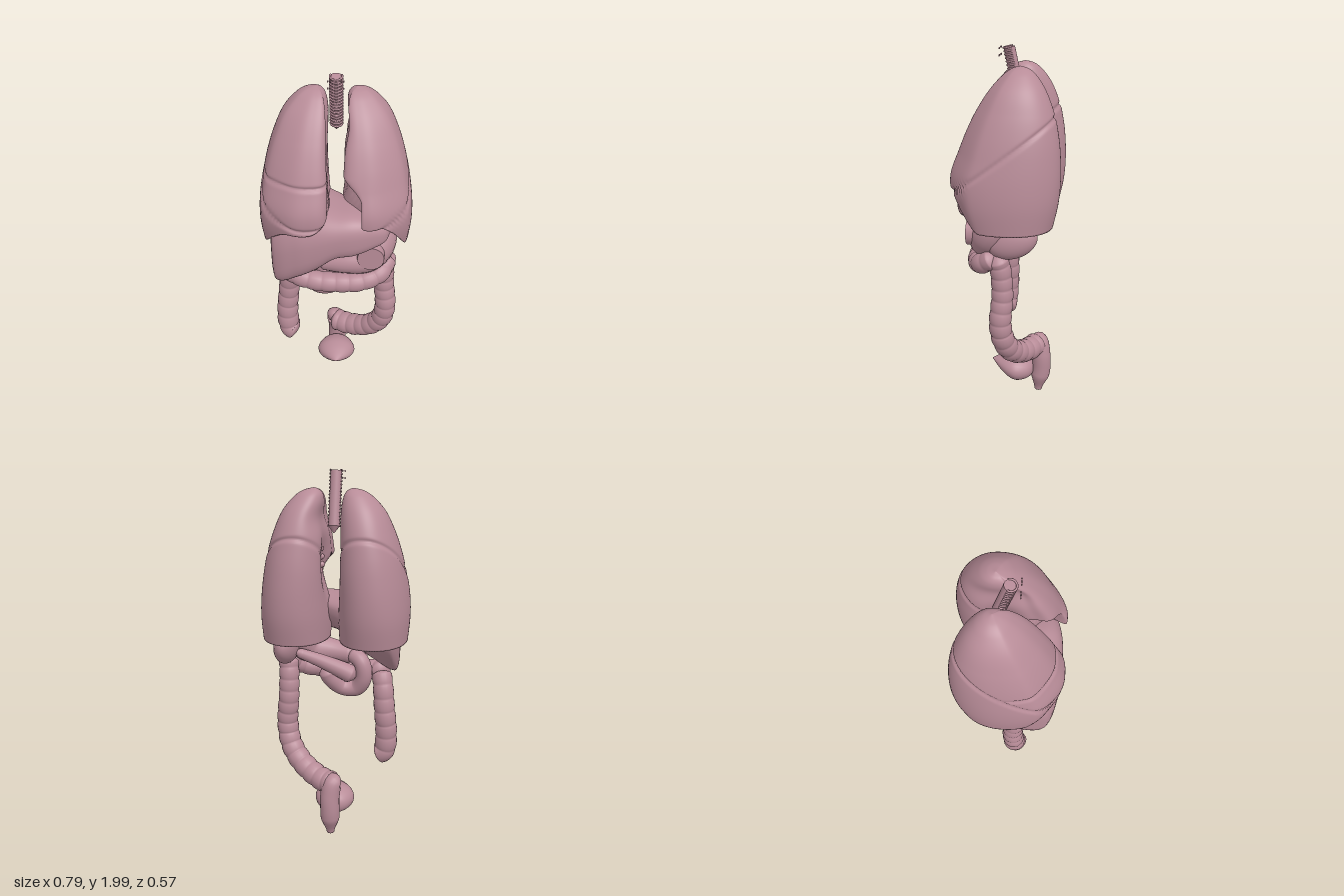
import * as THREE from 'three';
import { mergeVertices } from 'three/addons/utils/BufferGeometryUtils.js';

const material = new THREE.MeshStandardMaterial({ color: 0xb88c98, side: THREE.DoubleSide });
const V = (p) => new THREE.Vector3(...p);
const smooth = THREE.MathUtils.smoothstep;
const pw = (a, e) => Math.sign(a) * Math.abs(a) ** e;

// Smooth lookup in a table whose first column is the ascending key
function lookup(rows, key) {
  const n = rows.length - 1;
  const k = THREE.MathUtils.clamp(key, rows[0][0], rows[n][0]);
  let i = 0;
  while (i < n - 1 && k > rows[i + 1][0]) i++;
  const h = rows[i + 1][0] - rows[i][0], t = (k - rows[i][0]) / h;
  const slope = (j, c) => {
    const a = rows[Math.max(j - 1, 0)], b = rows[Math.min(j + 1, n)];
    return (b[c] - a[c]) / (b[0] - a[0]);
  };
  return rows[0].slice(1).map((_, q) => {
    const c = q + 1, t2 = t * t, t3 = t2 * t;
    return (2 * t3 - 3 * t2 + 1) * rows[i][c] + (t3 - 2 * t2 + t) * h * slope(i, c)
      + (3 * t2 - 2 * t3) * rows[i + 1][c] + (t3 - t2) * h * slope(i + 1, c);
  });
}

// Closed loft: fn(angle, v) gives a point; winding is set from the enclosed volume
function loft(name, fn, nu, nv) {
  const pos = [], idx = [];
  for (let j = 0; j <= nv; j++)
    for (let i = 0; i < nu; i++) pos.push(...fn((i / nu) * Math.PI * 2, j / nv));
  for (let j = 0; j < nv; j++)
    for (let i = 0; i < nu; i++) {
      const k = (i + 1) % nu, a = j * nu + i, b = j * nu + k;
      idx.push(a, b, b + nu, a, b + nu, a + nu);
    }
  let volume = 0;
  const p = (i) => new THREE.Vector3().fromArray(pos, i * 3);
  for (let i = 0; i < idx.length; i += 3) volume += p(idx[i]).dot(p(idx[i + 1]).cross(p(idx[i + 2])));
  if (volume < 0) idx.reverse();
  let g = new THREE.BufferGeometry();
  g.setAttribute('position', new THREE.Float32BufferAttribute(pos, 3));
  g.setIndex(idx);
  g = mergeVertices(g, 1e-5);
  g.computeVertexNormals();
  const m = new THREE.Mesh(g, material);
  m.name = name;
  return m;
}

// Tube along a curve with a radius rule and closed, rounded ends
function organTube(name, points, radius, segments = 80, sides = 20) {
  const path = new THREE.CatmullRomCurve3(points.map(V));
  let g = new THREE.TubeGeometry(path, segments, 1, sides);
  const pos = g.attributes.position, v = new THREE.Vector3();
  for (let i = 0; i <= segments; i++) {
    const u = i / segments, c = path.getPointAt(u);
    const r = i === 0 || i === segments ? 0 : radius(u);
    for (let j = 0; j <= sides; j++) {
      const k = i * (sides + 1) + j;
      v.fromBufferAttribute(pos, k).sub(c).multiplyScalar(r).add(c);
      pos.setXYZ(k, v.x, v.y, v.z);
    }
  }
  g.deleteAttribute('uv');
  g.deleteAttribute('normal');
  g = mergeVertices(g, 1e-5);
  g.computeVertexNormals();
  const m = new THREE.Mesh(g, material);
  m.name = name;
  return m;
}
const endRound = (u, w = 0.06) => Math.sqrt(Math.min(1, u / w, (1 - u) / w));
const haustra = (r, n) => (u) => r * endRound(u, 0.04) * (0.91 + 0.11 * Math.sqrt(Math.abs(Math.sin(u * n * Math.PI))));

function ellipsoid(name, p, s, rot = [0, 0, 0]) {
  const m = new THREE.Mesh(new THREE.SphereGeometry(1, 28, 20), material);
  m.name = name;
  m.position.set(...p);
  m.scale.set(...s);
  m.rotation.set(...rot);
  return m;
}

// Lung envelope: height, outer x, inner x, front z, back z
const lungRows = [
  [1.10, 0.385, 0.03, 0.21, -0.245], [1.25, 0.395, 0.02, 0.27, -0.275], [1.37, 0.388, 0.018, 0.28, -0.283],
  [1.5, 0.366, 0.02, 0.235, -0.278], [1.6, 0.342, 0.026, 0.195, -0.265], [1.7, 0.308, 0.032, 0.145, -0.242],
  [1.8, 0.26, 0.038, 0.08, -0.2], [1.87, 0.198, 0.052, 0.015, -0.15], [1.9, 0.15, 0.072, -0.03, -0.11],
  [1.912, 0.1, 0.1, -0.07, -0.07],
];

function lung(side) {
  const left = side > 0;
  return loft(left ? 'leftLung' : 'rightLung', (angle, v) => {
    const c = Math.cos(angle), s = Math.sin(angle), medial = Math.max(0, -c);
    // lower rim climbs at the front and towards the middle
    const rim = 1.12 + (c > 0 ? smooth(s, 0.5, 0.96) : smooth(s, 0.05, 0.7)) * (left ? 0.19 : 0.14)
      + (left ? 0.05 : 0.1) * medial * smooth(s, 0, 0.6);
    const under = Math.max(0, (v - 0.86) / 0.14);
    const y = 1.912 - (1.912 - rim) * Math.min(1, v / 0.86) ** 1.3;
    const [outer, inner, zf, zb] = lookup(lungRows, y);
    const mid = (outer + inner) / 2, zm = (zf + zb) / 2, half = (outer - inner) / 2;
    // squarer towards the front middle, rounder elsewhere
    let dx = half * pw(c, s > 0 ? (c < 0 ? 0.72 : 0.85) : 0.95);
    let dz = ((zf - zb) / 2) * pw(s, s > 0 && c < 0 ? 0.85 : 0.93);
    dx -= half * 0.3 * smooth(s, 0.5, 1);
    // hollow at the root, and the heart notch on the left side
    dx += medial * (left ? 0.06 : 0.045) * Math.exp(-(((y - 1.5) / 0.17) ** 2) - ((s + 0.05) / 0.35) ** 2);
    if (left) {
      dx += medial * 0.025 * Math.exp(-(((y - 1.77) / 0.07) ** 2));
      dx += 0.115 * smooth(-c, -0.25, 0.8) * smooth(-y, -1.56, -1.44) * smooth(s, 0, 0.6);
    }
    // fissures between the lobes
    const oblique = (y - 1.495 + 0.73 * (zm + dz)) / 1.24;
    let groove = Math.exp(-((oblique / 0.01) ** 2));
    if (!left) groove = Math.max(groove, smooth(oblique, 0, 0.02) * Math.exp(-(((y - 1.51) / 0.01) ** 2)));
    const size = (1 - 0.045 * groove + 0.008 * smooth(-oblique, -0.01, 0.01)) * (1 - under);
    dx *= size;
    dz *= size;
    return [side * (mid + dx), y + (1.37 - y) * Math.sin((under * Math.PI) / 2), zm + dz];
  }, 96, 140);
}

// Liver sections: x, top, bottom, front z, back z
const liverRows = [
  [-0.345, 1.1, 1.1, 0.03, 0.03], [-0.335, 1.25, 0.91, 0.16, -0.1], [-0.31, 1.29, 0.838, 0.22, -0.16],
  [-0.2, 1.36, 0.885, 0.262, -0.2], [-0.1, 1.365, 0.96, 0.273, -0.17], [0, 1.355, 1.06, 0.273, -0.09],
  [0.1, 1.35, 1.09, 0.265, 0], [0.2, 1.32, 1.14, 0.235, 0.05], [0.26, 1.28, 1.18, 0.2, 0.08], [0.285, 1.23, 1.23, 0.15, 0.15],
];

function liver() {
  return loft('liver', (angle, v) => {
    const x = -0.03 - 0.315 * Math.cos(v * Math.PI);
    const [top, bottom, zf, zb] = lookup(liverRows, x);
    const c = pw(Math.cos(angle), 0.75), s = pw(Math.sin(angle), 0.75);
    const lift = 0.52 * (top - bottom) * ((1 - c) / 2) * ((1 - s) / 2);
    return [x, (top + bottom) / 2 + ((top - bottom) / 2) * s + lift - 0.01, (zf + zb) / 2 + ((zf - zb) / 2) * c];
  }, 56, 56);
}

// Bladder sections: z, centre height, half width, half height
const bladderRows = [
  [-0.15, 0.155, 0, 0], [-0.14, 0.155, 0.045, 0.035], [-0.11, 0.156, 0.085, 0.062], [-0.05, 0.16, 0.112, 0.077],
  [0, 0.168, 0.1, 0.064], [0.05, 0.18, 0.06, 0.036], [0.1, 0.195, 0, 0],
];

function bladder() {
  return loft('bladder', (angle, v) => {
    const z = -0.025 - 0.125 * Math.cos(v * Math.PI);
    const [y, w, h] = lookup(bladderRows, z);
    return [w * Math.cos(angle), y + h * Math.sin(angle), z];
  }, 32, 32);
}

function trachea() {
  const g = new THREE.Group();
  g.name = 'trachea';
  const top = V([0, 2, 0.003]), end = V([0, 1.72, -0.06]);
  const dir = top.clone().sub(end).normalize();
  const place = (geo, name, p) => {
    const m = new THREE.Mesh(geo, material);
    m.name = name;
    m.position.copy(p);
    m.quaternion.setFromUnitVectors(V([0, 1, 0]), dir);
    g.add(m);
  };
  const length = top.distanceTo(end);
  place(new THREE.CylinderGeometry(0.029, 0.029, length - 0.012, 24), 'windpipe', top.clone().lerp(end, 0.52));
  place(new THREE.CylinderGeometry(0.029, 0.004, 0.035, 24), 'windpipeTip', end.clone().addScaledVector(dir, -0.017));
  // cartilage rings are open at the back
  const ring = new THREE.TorusGeometry(0.029, 0.005, 8, 24, Math.PI * 1.3).rotateZ(-Math.PI * 0.15).rotateX(Math.PI / 2);
  for (let i = 0; i < 17; i++) place(ring, 'cartilageRing', top.clone().lerp(end, 0.035 + i * 0.06));
  return g;
}

export function createModel() {
  const model = new THREE.Group();
  model.name = 'internalOrgans';
  model.add(lung(-1), lung(1), trachea(), liver(), bladder());

  // small glands beside the windpipe and airway stubs at the lung roots
  for (const s of [-1, 1]) {
    for (const y of [1.95, 1.985])
      for (const x of [0.025, 0.037]) model.add(ellipsoid('smallGland', [s * x, y, 0.046], [0.004, 0.005, 0.004]));
    for (let i = 0; i < 3; i++)
      model.add(ellipsoid('airwayStub', [s * 0.085, 1.6 - i * 0.045, -0.03 + i * 0.015], [0.025, 0.018, 0.018]));
  }

  // stomach, its flat round face, and the digestive organs around it
  const stomachRadii = [[0, 0.03], [0.2, 0.08], [0.45, 0.098], [0.65, 0.08], [0.85, 0.06], [1, 0.05]];
  model.add(organTube('stomach',
    [[0.1, 1.27, -0.02], [0.2, 1.22, -0.02], [0.228, 1.1, 0.05], [0.17, 1.02, 0.1], [0.06, 1.0, 0.12], [-0.1, 0.985, 0.1]],
    (u) => endRound(u) * lookup(stomachRadii, u)[0]));
  const face = new THREE.Mesh(new THREE.CylinderGeometry(0.07, 0.075, 0.06, 40), material);
  face.name = 'stomachFace';
  face.position.set(0.187, 1.07, 0.165);
  face.rotation.x = Math.PI / 2;
  model.add(face);
  model.add(ellipsoid('spleen', [0.265, 1.06, -0.05], [0.065, 0.095, 0.135], [0.35, 0, 0.15]));
  model.add(ellipsoid('gallbladder', [-0.12, 0.98, 0.12], [0.035, 0.06, 0.04], [0.4, 0, 0]));
  model.add(organTube('duodenum',
    [[-0.06, 1.0, 0.1], [-0.13, 0.96, 0.06], [-0.145, 0.87, 0.06], [-0.1, 0.797, 0.08], [-0.02, 0.797, 0.08], [0.04, 0.86, 0.04], [0.07, 0.93, 0.02]],
    (u) => 0.046 * endRound(u)));
  model.add(organTube('pancreas',
    [[-0.1, 0.87, 0.06], [-0.03, 0.91, 0.04], [0.08, 0.97, 0], [0.22, 1.04, -0.06]],
    (u) => endRound(u, 0.1) * (0.055 - 0.03 * u)));

  // large bowel
  model.add(organTube('ascendingColon',
    [[-0.225, 0.41, 0.06], [-0.268, 0.44, 0.05], [-0.28, 0.56, 0.04], [-0.268, 0.7, 0.035], [-0.255, 0.84, 0.05], [-0.24, 0.91, 0.08]],
    (u) => haustra(0.061, 7)(u) * (1.04 - 0.14 * u), 110));
  model.add(organTube('transverseColon',
    [[-0.25, 0.9, 0.07], [-0.22, 0.9, 0.12], [-0.1, 0.885, 0.155], [0.02, 0.88, 0.16], [0.14, 0.885, 0.15], [0.24, 0.915, 0.11], [0.285, 0.97, 0.03]],
    haustra(0.055, 9), 130));
  model.add(organTube('descendingColon',
    [[0.28, 0.985, 0.03], [0.27, 0.9, 0.01], [0.272, 0.75, 0], [0.285, 0.58, 0.01], [0.26, 0.46, -0.01], [0.19, 0.37, -0.05], [0.08, 0.315, -0.11], [-0.03, 0.305, -0.17]],
    (u) => haustra(0.059, 14)(u) * (0.92 + 0.22 * u), 180));
  model.add(organTube('rectum',
    [[-0.04, 0.31, -0.14], [-0.015, 0.32, -0.17], [0, 0.25, -0.187], [0, 0.16, -0.19], [0, 0.08, -0.18], [0, 0.005, -0.172]],
    (u) => (u < 0.1 ? Math.sqrt(u / 0.1) : 1) * (0.054 - 0.032 * smooth(u, 0.68, 1))));
  return model;
}
